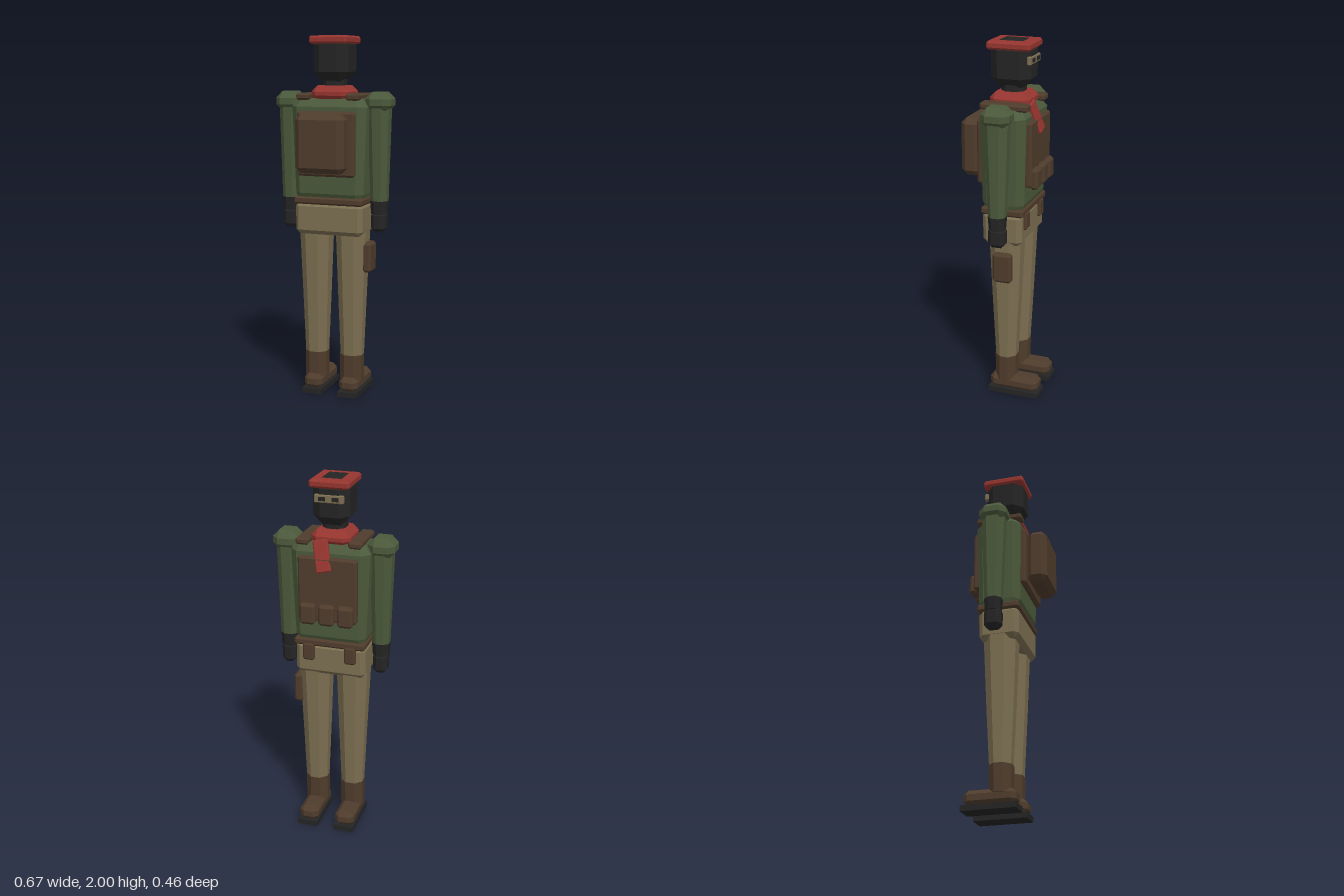
import * as THREE from 'three';
import { ConvexGeometry } from 'three/addons/geometries/ConvexGeometry.js';

const paint = (name, color) => {
  const m = new THREE.MeshStandardMaterial({ color });
  m.name = name;
  return m;
};

// Box with every edge chamfered by b, given by its extents
function bevelBox([x0, x1], [y0, y1], [z0, z1], b) {
  const w = (x1 - x0) / 2, h = (y1 - y0) / 2, d = (z1 - z0) / 2, pts = [];
  for (const sx of [-1, 1]) for (const sy of [-1, 1]) for (const sz of [-1, 1]) {
    pts.push(new THREE.Vector3(sx * w, sy * (h - b), sz * (d - b)));
    pts.push(new THREE.Vector3(sx * (w - b), sy * h, sz * (d - b)));
    pts.push(new THREE.Vector3(sx * (w - b), sy * (h - b), sz * d));
  }
  return new ConvexGeometry(pts).translate((x0 + x1) / 2, (y0 + y1) / 2, (z0 + z1) / 2);
}

// Tapered eight-sided column; each ring is [y, xMin, xMax, zMin, zMax, corner]
function column(rings) {
  const pts = [];
  for (const [y, x0, x1, z0, z1, c] of rings) {
    for (const [x, sx] of [[x0, 1], [x1, -1]]) for (const [z, sz] of [[z0, 1], [z1, -1]]) {
      pts.push(new THREE.Vector3(x + sx * c, y, z), new THREE.Vector3(x, y, z + sz * c));
    }
  }
  return new ConvexGeometry(pts);
}

export function createModel() {
  const model = new THREE.Group();
  model.name = 'scout';
  const black = paint('black', 0x242424);
  const red = paint('red', 0x96352f);
  const green = paint('green', 0x4b593b);
  const brown = paint('brown', 0x4f3c2c);
  const tan = paint('tan', 0x7c6f51);

  const add = (name, geometry, material, parent = model) => {
    const mesh = new THREE.Mesh(geometry, material);
    mesh.name = name;
    parent.add(mesh);
    return mesh;
  };

  // Head, cap and neck; the figure looks towards -z
  add('head', bevelBox([-0.1, 0.1], [1.755, 2], [-0.142, 0.08], 0.05), black);
  add('cap', bevelBox([-0.107, 0.107], [1.953, 1.997], [-0.15, 0.09], 0.011), red);
  add('neck', column([[1.66, -0.062, 0.062, -0.092, 0.034, 0.035],
    [1.78, -0.062, 0.062, -0.092, 0.034, 0.035]]), black);
  add('eyeStrip', bevelBox([-0.078, 0.078], [1.88, 1.922], [-0.148, -0.125], 0.004), tan);
  for (const s of [-1, 1]) {
    const eye = add('eye', new THREE.BoxGeometry(0.036, 0.02, 0.006), black);
    eye.position.set(s * 0.035, 1.901, -0.149);
  }

  // Scarf with a hanging tail
  add('scarf', bevelBox([-0.107, 0.107], [1.645, 1.733], [-0.14, 0.08], 0.034), red);
  const tail = add('scarfTail', bevelBox([-0.04, 0.04], [-0.085, 0.085], [-0.013, 0.013], 0.006), red);
  tail.position.set(0.03, 1.605, -0.163);
  tail.rotation.set(0.3, 0, -0.22);

  // Torso, belt and hips
  add('torso', column([
    [1.12, -0.188, 0.188, -0.13, 0.075, 0.03],
    [1.15, -0.196, 0.196, -0.145, 0.09, 0.035],
    [1.62, -0.215, 0.215, -0.157, 0.098, 0.04],
    [1.665, -0.18, 0.18, -0.12, 0.06, 0.03],
  ]), green);
  add('belt', bevelBox([-0.198, 0.198], [1.088, 1.13], [-0.148, 0.09], 0.01), brown);
  add('hips', bevelBox([-0.195, 0.195], [0.92, 1.1], [-0.137, 0.085], 0.024), tan);

  // Pack on the back (+z) and panel on the chest (-z)
  add('backPlate', bevelBox([-0.165, 0.165], [1.247, 1.597], [0.085, 0.122], 0.012), brown);
  add('backpack', bevelBox([-0.138, 0.138], [1.272, 1.588], [0.115, 0.23], 0.031), brown);
  add('chestPanel', bevelBox([-0.16, 0.16], [1.25, 1.6], [-0.182, -0.14], 0.01), brown);
  for (const x of [-0.103, 0, 0.103]) {
    add('chestPouch', bevelBox([x - 0.043, x + 0.043], [1.235, 1.35], [-0.212, -0.165], 0.014), brown);
  }
  add('holster', bevelBox([0.175, 0.225], [0.713, 0.88], [-0.09, 0.016], 0.013), brown);

  // Left side is built at +x and repeated at -x
  for (const s of [-1, 1]) {
    const side = new THREE.Group();
    side.name = s > 0 ? 'leftSide' : 'rightSide';
    model.add(side);
    const span = (a, b) => (s > 0 ? [a, b] : [-b, -a]);
    const ring = (y, a, b, z0, z1, c) => [y, ...span(a, b), z0, z1, c];
    const box = (name, x, y, z, b, m) => add(name, bevelBox(span(...x), y, z, b), m, side);
    const limb = (name, m, ...rings) => add(name, column(rings.map(r => ring(...r))), m, side);

    // Shoulder strap and belt pouch
    box('shoulderStrap', [0.106, 0.178], [1.655, 1.692], [-0.163, 0.1], 0.01, brown);
    box('beltPouch', [0.083, 0.148], [1.005, 1.105], [-0.155, -0.115], 0.01, brown);

    // Arm
    box('shoulder', [0.187, 0.333], [1.59, 1.7], [-0.11, 0.048], 0.038, green);
    limb('arm', green, [1.1, 0.214, 0.305, -0.077, 0.015, 0.026], [1.64, 0.197, 0.317, -0.097, 0.035, 0.034]);
    limb('cuff', black, [1.04, 0.218, 0.302, -0.073, 0.011, 0.024], [1.112, 0.213, 0.306, -0.078, 0.016, 0.026]);
    box('glove', [0.221, 0.299], [0.94, 1.055], [-0.078, 0.016], 0.022, black);

    // Leg
    limb('thigh', tan, [0.55, 0.033, 0.178, -0.104, 0.044, 0.042], [0.95, 0.02, 0.194, -0.121, 0.06, 0.05]);
    limb('shin', tan, [0.22, 0.044, 0.167, -0.087, 0.028, 0.035], [0.55, 0.033, 0.178, -0.104, 0.044, 0.042]);

    // Boot
    limb('bootShaft', brown, [0.085, 0.041, 0.168, -0.086, 0.03, 0.036], [0.235, 0.041, 0.168, -0.09, 0.032, 0.036]);
    box('bootFoot', [0.05, 0.16], [0.025, 0.11], [-0.222, 0.06], 0.026, brown);
    add('sole', new THREE.BoxGeometry(0.115, 0.03, 0.295), black, side)
      .position.set(s * 0.106, 0.015, -0.0825);
  }

  return model;
}
